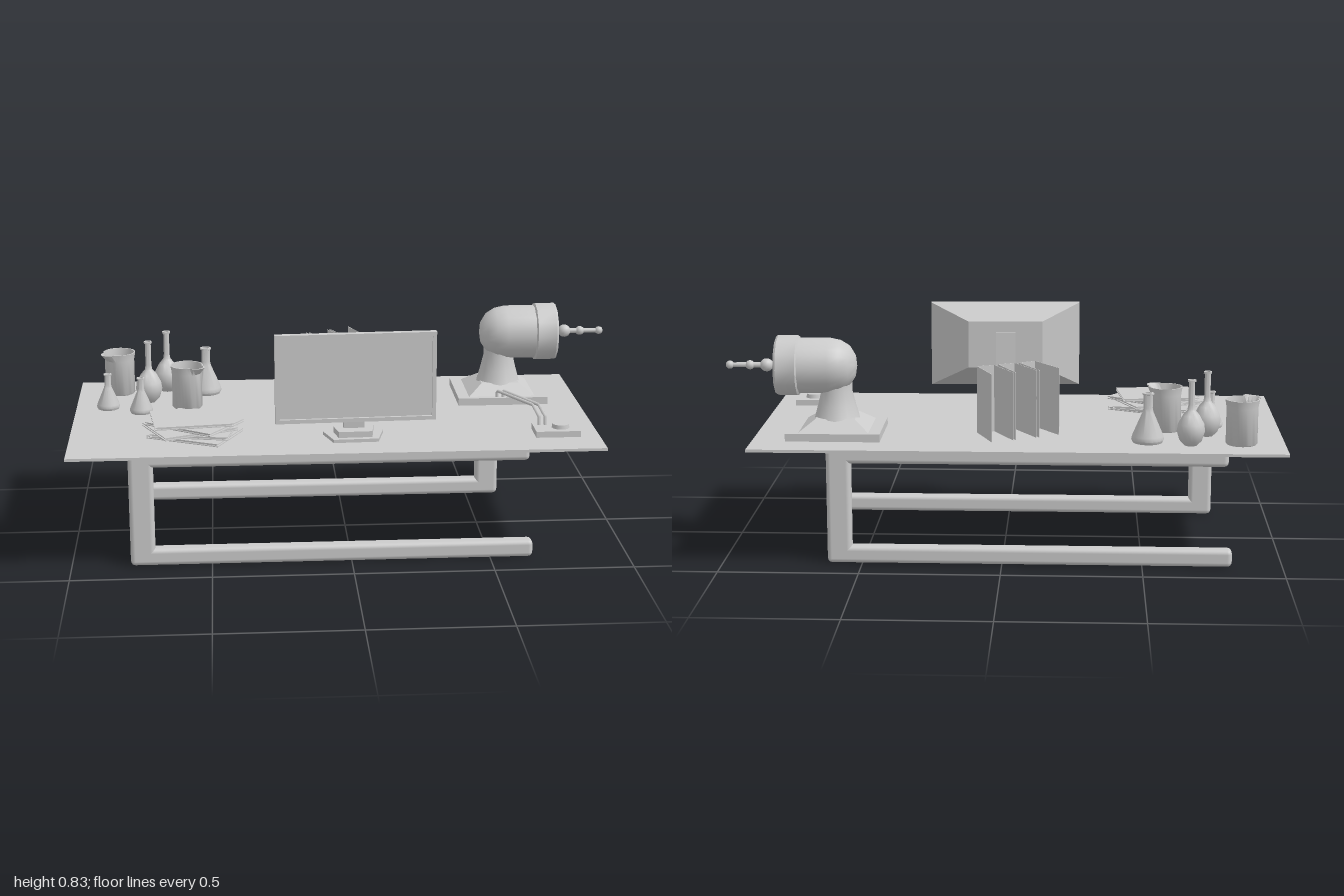
import * as THREE from 'three';
import { RoundedBoxGeometry } from 'three/addons/geometries/RoundedBoxGeometry.js';
import { toCreasedNormals } from 'three/addons/utils/BufferGeometryUtils.js';

const grey = new THREE.MeshStandardMaterial({ color: 0xcccccc, side: THREE.DoubleSide });
const flat = new THREE.MeshStandardMaterial({ color: 0xcccccc, flatShading: true, side: THREE.DoubleSide });
const TOP = 0.442; // desk surface height

function add(parent, name, geo, x = 0, y = 0, z = 0, mat = grey) {
  const m = new THREE.Mesh(geo, mat);
  m.name = name;
  m.position.set(x, y, z);
  parent.add(m);
  return m;
}
function group(parent, name, x, y, z, rotY = 0) {
  const g = new THREE.Group();
  g.name = name;
  g.position.set(x, y, z);
  g.rotation.y = rotY;
  parent.add(g);
  return g;
}
const box = (w, h, d) => new THREE.BoxGeometry(w, h, d);
const lathe = (pts, seg = 20, crease = 0.7) =>
  toCreasedNormals(new THREE.LatheGeometry(pts.map(p => new THREE.Vector2(...p)), seg), crease);
// box whose back (-z) face is scaled down
function taperBox(w, h, d, sx, sy) {
  const g = box(w, h, d), p = g.attributes.position;
  for (let i = 0; i < p.count; i++)
    if (p.getZ(i) < 0) p.setXY(i, p.getX(i) * sx, p.getY(i) * sy);
  return g;
}

// Tabletop and two C-shaped leg frames with opposite open ends
function buildDesk(root) {
  const desk = group(root, 'desk', 0, 0, 0);
  add(desk, 'tabletop', box(1.89, 0.01, 0.97), -0.055, 0.437, 0);
  add(desk, 'tabletopUnderside', box(1.79, 0.009, 0.9), -0.055, 0.4275, 0);
  for (const s of [1, -1]) {
    const f = group(desk, s > 0 ? 'frontLegFrame' : 'backLegFrame', -0.0825, 0, s * 0.352, s > 0 ? 0 : Math.PI);
    const bar = (name, x0, x1, y0, y1) => add(f, name,
      new RoundedBoxGeometry(x1 - x0, y1 - y0, 0.057, 2, 0.017), (x0 + x1) / 2, (y0 + y1) / 2, 0);
    bar('legPost', -0.708, -0.62, 0.004, 0.425);
    bar('bottomRail', -0.708, 0.7375, 0, 0.063);
    bar('topRail', -0.708, 0.7175, 0.366, 0.427);
  }
}

function buildMonitor(root) {
  const m = group(root, 'monitor', 0.015, 0, 0.338, 0.042);
  const w = 0.57, h = 0.32, b = 0.014, y = 0.675;
  const rect = (Type, a, c) => new Type([[-a, -c], [a, -c], [a, c], [-a, c]].map(p => new THREE.Vector2(...p)));
  const shape = rect(THREE.Shape, w / 2, h / 2);
  shape.holes.push(rect(THREE.Path, w / 2 - b, h / 2 - b));
  add(m, 'bezel', new THREE.ExtrudeGeometry(shape, { depth: 0.024, bevelEnabled: false }), 0, y, -0.01);
  add(m, 'screen', box(w - 2 * b, h - 2 * b, 0.014), 0, y, -0.003);
  add(m, 'backShell', taperBox(w, h, 0.024, 0.5, 0.56), 0, y, -0.022);
  const neck = add(m, 'standNeck', box(0.075, 0.27, 0.02), 0, 0.587, -0.047);
  neck.rotation.x = 0.06;
  add(m, 'standFoot', taperBox(0.12, 0.025, 0.075, 1.2, 1), 0, 0.463, -0.035);
  add(m, 'standBase', taperBox(0.16, 0.012, 0.105, 1.35, 1), 0, TOP + 0.006, -0.03);
}

// Rounded motor on a flared pedestal with a knobbed shaft pointing to +x
function buildMotor(root) {
  const g = group(root, 'motor', 0.6, 0, -0.214);
  add(g, 'motorBase', box(0.337, 0.028, 0.29), 0.002, 0.456, 0);
  const skirt = new THREE.CylinderGeometry(0.1, 0.18, 0.04, 4).rotateY(Math.PI / 4);
  add(g, 'pedestalSkirt', skirt, 0, 0.488, 0, flat);
  add(g, 'pedestal', lathe([[0.095, 0.47], [0.082, 0.5], [0.068, 0.55], [0.056, 0.6], [0.056, 0.63]]));
  const axis = group(g, 'motorHead', -0.075, 0.69, 0);
  axis.rotation.z = -Math.PI / 2;
  add(axis, 'housing', lathe([[0, 0], [0.04, 0.007], [0.072, 0.027], [0.092, 0.06], [0.1, 0.1], [0.1, 0.22]], 24, 1));
  // 12-sided collar with recessed face
  add(axis, 'collar', lathe([[0.098, 0.205], [0.11, 0.212], [0.11, 0.282], [0.104, 0.29], [0.07, 0.29],
    [0.067, 0.27], [0.03, 0.268], [0.027, 0.285], [0, 0.287]], 12, 0.6));
  add(axis, 'shaft', new THREE.CylinderGeometry(0.008, 0.012, 0.2, 12), 0, 0.37, 0);
  for (const [y, r] of [[0.327, 0.024], [0.387, 0.017], [0.46, 0.015]])
    add(axis, 'shaftKnob', new THREE.SphereGeometry(r, 14, 10), 0, y, 0);
}

// Switch box with a twin cable to the motor
function buildSwitch(root) {
  const s = group(root, 'switch', 0, 0, 0);
  add(s, 'switchBox', box(0.16, 0.022, 0.108), 0.74, TOP + 0.011, 0.295);
  add(s, 'switchButton', new THREE.CylinderGeometry(0.03, 0.032, 0.016, 16), 0.755, 0.471, 0.297);
  for (const o of [-0.011, 0.011]) {
    const path = new THREE.CurvePath();
    const pts = [[0.592, 0.455, -0.085], [0.592, 0.494, -0.085], [0.695, 0.494, 0.11], [0.695, 0.492, 0.255], [0.695, 0.46, 0.265]]
      .map(p => new THREE.Vector3(p[0] + o, p[1], p[2]));
    for (let i = 1; i < pts.length; i++) path.add(new THREE.LineCurve3(pts[i - 1], pts[i]));
    add(s, 'cable', new THREE.TubeGeometry(path, 40, 0.006, 6));
  }
}

// Loose stack of thin folders
function buildStack(root) {
  const stack = group(root, 'folderStack', -0.565, TOP, 0.228);
  [[-0.45, 0.012, 0.01], [-0.2, 0.01, 0], [0.42, -0.005, 0.012], [-0.6, 0.01, 0], [0.12, 0, 0]].forEach(([r, x, z], i) => {
    const f = group(stack, 'folder', x, 0.004 + i * 0.0128, z, r);
    for (const y of [0, 0.008]) add(f, 'folderCover', box(0.28, 0.003, 0.21), 0, y, 0);
    add(f, 'folderPages', box(0.265, 0.006, 0.2), 0, 0.004, 0);
  });
}

// Standing binders: spine plus two splayed covers, open at the back
function buildBinders(root) {
  const row = group(root, 'binders', -0.045, TOP, -0.21, 0.49);
  const h = 0.245, d = 0.16;
  [0.06, 0, -0.06].forEach((turn, i) => {
    const b = group(row, 'binder', (i - 1) * 0.083, 0, 0.078, turn);
    add(b, 'binderSpine', box(0.068, h, 0.002), 0, h / 2, 0);
    add(b, 'spineLabel', box(0.036, 0.05, 0.002), 0, 0.19, 0.002);
    for (const s of [-1, 1]) {
      const cover = group(b, 'binderCover', s * 0.033, 0, 0, s * -0.05);
      add(cover, 'coverPanel', box(0.002, h, d), 0, h / 2, -d / 2);
    }
  });
}

function buildGlassware(root) {
  const set = group(root, 'glassware', 0, TOP, 0);
  const conical = [[0, 0.001], [0.9, 0.001], [1, 0.06], [0.96, 0.14], [0.33, 0.62], [0.28, 0.7], [0.28, 0.96],
    [0.36, 0.97], [0.36, 1], [0.22, 1], [0.22, 0.7], [0, 0.6]];
  const round = [[0, 0.001], [0.45, 0.001], [0.8, 0.08], [1, 0.22], [0.92, 0.33], [0.6, 0.46], [0.28, 0.54], [0.22, 0.62],
    [0.22, 0.97], [0.3, 0.97], [0.3, 1], [0.18, 1], [0.18, 0.6], [0, 0.5]];
  const flask = (name, profile, x, z, r, h) => add(set, name, lathe(profile.map(p => [p[0] * r, p[1] * h])), x, 0, z);
  flask('conicalFlask', conical, -0.515, -0.315, 0.058, 0.178);
  flask('conicalFlask', conical, -0.88, -0.125, 0.043, 0.133);
  flask('conicalFlask', conical, -0.755, -0.063, 0.043, 0.133);
  flask('roundFlask', round, -0.665, -0.355, 0.05, 0.235);
  flask('roundFlask', round, -0.73, -0.205, 0.05, 0.235);

  // Beakers: rim pulled outward into a spout at angle a
  for (const [x, z, a] of [[-0.845, -0.333, 2.36], [-0.585, -0.125, 0.78]]) {
    const g = new THREE.LatheGeometry([[0, 0.001], [0.052, 0.001], [0.056, 0.006], [0.056, 0.135], [0.061, 0.163],
      [0.056, 0.163], [0.052, 0.135], [0.052, 0.008], [0, 0.008]].map(p => new THREE.Vector2(...p)), 32);
    const p = g.attributes.position;
    for (let i = 0; i < p.count; i++) {
      const c = Math.cos(Math.atan2(p.getZ(i), p.getX(i)) - a);
      if (p.getY(i) > 0.15 && c > 0.85) {
        const k = 1 + 0.38 * (c - 0.85) / 0.15;
        p.setXYZ(i, p.getX(i) * k, p.getY(i), p.getZ(i) * k);
      }
    }
    add(set, 'beaker', toCreasedNormals(g, 0.7), x, 0, z);
  }
}

export function createModel() {
  const root = new THREE.Group();
  root.name = 'labDesk';
  for (const build of [buildDesk, buildMonitor, buildMotor, buildSwitch, buildStack, buildBinders, buildGlassware]) build(root);
  return root;
}
